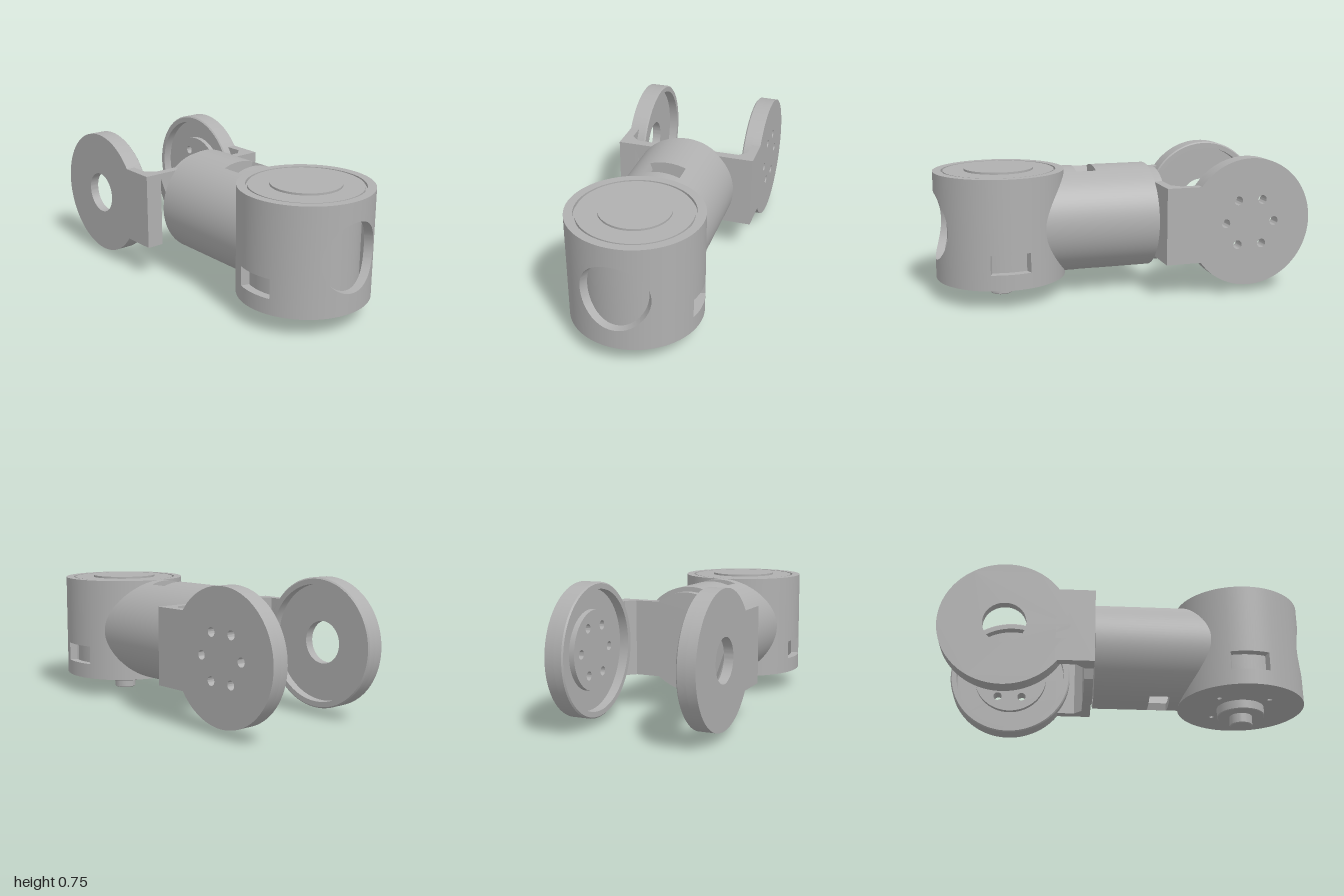
import * as THREE from 'three';
import { toCreasedNormals } from 'three/addons/utils/BufferGeometryUtils.js';

const MID = 0.395; // height of the horizontal axis
const HUB_Z = 0.65; // centre of the upright housing
const DISC_Z = -0.65; // centre of the fork discs

const grey = new THREE.MeshStandardMaterial({ color: 0xb0b0b0 });
grey.name = 'plain grey';

function part(parent, name, geometry, x = 0, y = 0, z = 0) {
  const mesh = new THREE.Mesh(toCreasedNormals(geometry, 0.5), grey);
  mesh.name = name;
  mesh.position.set(x, y, z);
  parent.add(mesh);
  return mesh;
}

// Hollow tube along y with cut-outs {c, w, lo(t), hi(t)}; c and w are angles.
function tubeWall(r0, r1, bottom, top, start, holes) {
  const angles = [];
  for (let i = 0; i <= 96; i++) angles.push(start + (i / 96) * Math.PI * 2);
  for (const h of holes) {
    for (let k = 0; k <= 24; k++) angles.push(h.c + h.w * Math.cos((k / 24) * Math.PI));
  }
  angles.sort((a, b) => a - b);
  const cuts = angles.filter((a, i) => i === 0 || a - angles[i - 1] > 1e-5);
  const pos = [];
  const p = (r, t, y) => [r * Math.sin(t), y, r * Math.cos(t)];
  const quad = (a, b, c, d) => pos.push(...a, ...b, ...c, ...a, ...c, ...d);
  const band = (a, b, lo, hi) => {
    quad(p(r1, a, lo(a)), p(r1, b, lo(b)), p(r1, b, hi(b)), p(r1, a, hi(a)));
    quad(p(r0, b, lo(b)), p(r0, a, lo(a)), p(r0, a, hi(a)), p(r0, b, hi(b)));
    quad(p(r1, a, lo(a)), p(r0, a, lo(a)), p(r0, b, lo(b)), p(r1, b, lo(b)));
    quad(p(r1, b, hi(b)), p(r0, b, hi(b)), p(r0, a, hi(a)), p(r1, a, hi(a)));
  };
  for (let i = 0; i + 1 < cuts.length; i++) {
    const a = cuts[i], b = cuts[i + 1];
    const h = holes.find((o) => Math.abs((a + b) / 2 - o.c) < o.w);
    if (h) {
      band(a, b, bottom, h.lo);
      band(a, b, h.hi, top);
    } else band(a, b, bottom, top);
  }
  // Side faces of the rectangular windows
  for (const h of holes) {
    const a = h.c - h.w, b = h.c + h.w, lo = h.lo(a), hi = h.hi(a);
    if (hi - lo < 0.01) continue;
    quad(p(r1, a, lo), p(r0, a, lo), p(r0, a, hi), p(r1, a, hi));
    quad(p(r0, b, lo), p(r1, b, lo), p(r1, b, hi), p(r0, b, hi));
  }
  const g = new THREE.BufferGeometry();
  g.setAttribute('position', new THREE.Float32BufferAttribute(pos, 3));
  return g;
}

const windowCut = (c, w, lo, hi) => ({ c, w, lo: () => lo, hi: () => hi });

function drill(shape, x, y, r) {
  shape.holes.push(new THREE.Path().absarc(x, y, r, 0, Math.PI * 2, true));
}

function extrude(shape, depth) {
  return new THREE.ExtrudeGeometry(shape, { depth, bevelEnabled: false, curveSegments: 48 });
}

function lathe(points, segments = 96) {
  return new THREE.LatheGeometry(points.map(([r, y]) => new THREE.Vector2(r, y)), segments);
}

function circle(r) {
  return new THREE.Shape().absarc(0, 0, r, 0, Math.PI * 2, false);
}

function buildHub(root) {
  const hub = new THREE.Group();
  hub.name = 'uprightHousing';
  hub.position.z = HUB_Z;
  root.add(hub);
  // Shell with a round front port and a window on each side
  const R = 0.35, port = 0.183;
  const arch = (t) => Math.sqrt(Math.max(0, port ** 2 - (R * Math.sin(t)) ** 2));
  const side = Math.asin(0.105 / R);
  part(hub, 'housingShell', tubeWall(0.305, R, () => 0.105, () => 0.685, -Math.PI, [
    { c: 0, w: Math.asin(port / R), lo: (t) => MID - arch(t), hi: (t) => MID + arch(t) },
    windowCut(-Math.PI / 2, side, 0.19, 0.295),
    windowCut(Math.PI / 2, side, 0.19, 0.295),
  ]));
  // Motor body and stepped lid
  part(hub, 'motorBody', lathe([[0, 0.13], [0.285, 0.13], [0.285, 0.66], [0, 0.66]]));
  part(hub, 'lid', lathe([
    [0, 0.65], [0.305, 0.65], [0.305, 0.668], [0.295, 0.668], [0.295, 0.684],
    [0.185, 0.684], [0.185, 0.695], [0, 0.695],
  ]));
  // Floor with four screw holes
  const floor = circle(0.306);
  for (let i = 0; i < 4; i++) {
    const a = Math.PI / 4 + (i * Math.PI) / 2;
    drill(floor, 0.195 * Math.cos(a), 0.195 * Math.sin(a), 0.013);
  }
  part(hub, 'floor', extrude(floor, 0.025).rotateX(-Math.PI / 2), 0, 0.105, 0);
  // Output boss and shaft
  part(hub, 'outputShaft', lathe([
    [0, 0], [0.058, 0], [0.062, 0.004], [0.062, 0.055], [0.126, 0.055],
    [0.13, 0.059], [0.13, 0.11], [0, 0.11],
  ], 64));
}

function buildTube(root) {
  // Horizontal tube, its far end trimmed to the upright housing
  const R = 0.29, w = Math.asin(0.1 / R);
  const trim = (t) => HUB_Z - Math.sqrt(0.335 ** 2 - (R * Math.sin(t)) ** 2);
  const shell = tubeWall(0.25, R, () => -0.17, trim, -Math.PI / 2, [
    windowCut(0, w, 0.135, 0.245),
    windowCut(Math.PI, w, 0.135, 0.245),
  ]);
  part(root, 'connectingTube', shell.rotateX(Math.PI / 2), 0, MID, 0);
  const core = lathe([[0, -0.168], [0.251, -0.168], [0.251, 0.09], [0, 0.09]]);
  part(root, 'tubeCore', core.rotateX(Math.PI / 2), 0, MID, 0);
}

function buildFork(root) {
  const fork = new THREE.Group();
  fork.name = 'fork';
  fork.position.y = MID;
  root.add(fork);
  // Base plate joined with a round flange, four screw holes
  const H = 0.2075, r = 0.265, a = Math.asin(H / r);
  const plate = new THREE.Shape();
  plate.moveTo(-0.31, -H);
  plate.absarc(0, 0, r, Math.PI + a, 2 * Math.PI - a, false);
  plate.lineTo(0.31, -H);
  plate.lineTo(0.31, H);
  plate.absarc(0, 0, r, a, Math.PI - a, false);
  plate.lineTo(-0.31, H);
  plate.closePath();
  for (const x of [-0.15, 0.15]) for (const y of [-0.13, 0.13]) drill(plate, x, y, 0.018);
  part(fork, 'basePlate', extrude(plate, 0.05), 0, 0, -0.225);

  for (const s of [1, -1]) {
    const side = new THREE.Group();
    side.name = s > 0 ? 'leftArm' : 'rightArm';
    if (s < 0) side.rotation.z = Math.PI;
    fork.add(side);
    // Arm with a chamfered inner corner
    const arm = new THREE.Shape([
      [0.3, 0.175], [0.395, 0.175], [0.395, 0.38], [0.345, 0.38], [0.345, 0.27], [0.3, 0.225],
    ].map(([x, y]) => new THREE.Vector2(x, y)));
    part(side, 'arm', extrude(arm, 2 * H).rotateX(-Math.PI / 2), 0, -H, 0);
    // Disc: six holes on the left, one large hole on the right
    const disc = circle(0.35), boss = circle(0.21);
    if (s > 0) {
      for (let i = 0; i < 6; i++) {
        const x = 0.14 * Math.cos((i * Math.PI) / 3), y = 0.14 * Math.sin((i * Math.PI) / 3);
        drill(disc, x, y, 0.024);
        drill(boss, x, y, 0.024);
      }
      part(side, 'discBoss', extrude(boss, 0.03).rotateY(Math.PI / 2), 0.316, 0, DISC_Z);
    } else drill(disc, 0, 0, 0.115);
    part(side, 'disc', extrude(disc, 0.05).rotateY(Math.PI / 2), 0.345, 0, DISC_Z);
    // Raised rim on the inner face
    const rim = lathe([[0.315, 0.05], [0.315, 0], [0.343, 0], [0.35, 0.007], [0.35, 0.05]]);
    part(side, 'discRim', rim.rotateZ(-Math.PI / 2), 0.295, 0, DISC_Z);
  }
}

export function createModel() {
  const root = new THREE.Group();
  root.name = 'robotArmJoint';
  buildHub(root);
  buildTube(root);
  buildFork(root);
  return root;
}
